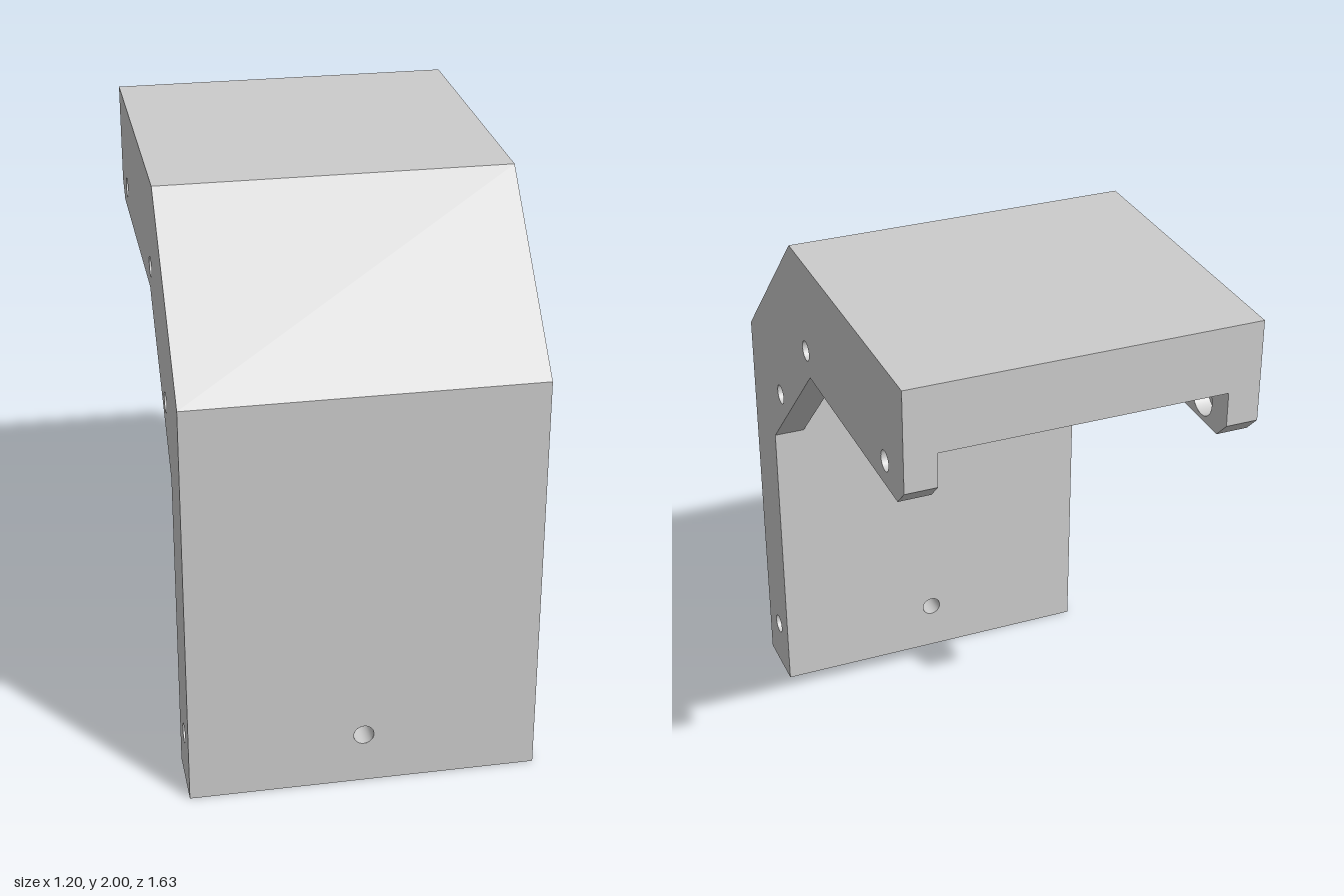
import * as THREE from 'three';

const W = 0.6, IN = 0.49;          // half width, half width between the flanges
const R = 0.035, BORE = 0.068;     // screw hole and counterbore radii
const STEP = 0.055;                // counterbore depth
const BLIND = 0.3;                 // depth of the blind side holes
const BACK = -0.815, FRONT = 0.815, WALL = 0.58;

// Side outlines as [z, y]
const outline = [[FRONT, 0], [FRONT, 1.46], [0.27, 2], [BACK, 2], [BACK, 1.645],
  [-0.755, 1.585], [0.1, 1.585], [WALL, 1.105], [WALL, 0]];
const flange = [[BACK, 1.765], [0.175, 1.765], [WALL, 1.36], [WALL, 1.105],
  [0.1, 1.585], [-0.755, 1.585], [BACK, 1.645]];
const screws = [[0.135, 1.67], [0.475, 1.33], [-0.645, 1.67]];
const pin = [0.695, 0.185];
const wallHole = [0, 0.185];

const material = new THREE.MeshStandardMaterial({ color: 0xcccccc, side: THREE.DoubleSide });

export function createModel() {
  const group = new THREE.Group();

  function add(name, geometry, x = 0, y = 0, z = 0, ry = 0) {
    const mesh = new THREE.Mesh(geometry, material);
    mesh.name = name;
    mesh.position.set(x, y, z);
    mesh.rotation.y = ry;
    group.add(mesh);
    return mesh;
  }

  // Flat face with round holes
  function panel(points, holes = [], radius = R) {
    const shape = new THREE.Shape(points.map(p => new THREE.Vector2(...p)));
    for (const [u, v] of holes) {
      shape.holes.push(new THREE.Path().absarc(u, v, radius, 0, Math.PI * 2, true));
    }
    return new THREE.ShapeGeometry(shape, 24);
  }

  // Folded strip along a [z, y] path, spanning x0 to x1
  function strip(path, x0, x1) {
    const pos = [];
    for (let i = 0; i < path.length - 1; i++) {
      const [pz, py] = path[i], [qz, qy] = path[i + 1];
      const a = [x0, py, pz], b = [x1, py, pz], c = [x1, qy, qz], d = [x0, qy, qz];
      pos.push(...a, ...b, ...c, ...a, ...c, ...d);
    }
    const g = new THREE.BufferGeometry();
    g.setAttribute('position', new THREE.Float32BufferAttribute(pos, 3));
    g.computeVertexNormals();
    return g;
  }

  // Open tube lining a hole along x
  function liningX(name, r, x0, x1, [z, y]) {
    const g = new THREE.CylinderGeometry(r, r, Math.abs(x1 - x0), 24, 1, true).rotateZ(Math.PI / 2);
    add(name, g, (x0 + x1) / 2, y, z);
  }

  // Outer skin, channel and base
  add('slopeAndTop', strip(outline.slice(1, 4), -W, W));
  add('channel', strip([[BACK, 1.765], [0.175, 1.765], [WALL, 1.36]], -IN, IN));
  add('base', strip([[WALL, 0], [FRONT, 0]], -W, W));

  // Front and back of the upright wall, with a through hole
  add('wallFront', panel([[-W, 0], [W, 0], [W, 1.46], [-W, 1.46]], [wallHole]), 0, 0, FRONT);
  add('wallBack', panel([[-W, 0], [W, 0], [W, 1.105], [IN, 1.105], [IN, 1.36],
    [-IN, 1.36], [-IN, 1.105], [-W, 1.105]], [wallHole]), 0, 0, WALL, Math.PI);
  add('wallHole', new THREE.CylinderGeometry(R, R, FRONT - WALL, 24, 1, true).rotateX(Math.PI / 2),
    0, wallHole[1], (FRONT + WALL) / 2);

  // Rear end of the top, notched by the channel
  add('rearEnd', panel([[-W, 2], [-W, 1.645], [-IN, 1.645], [-IN, 1.765],
    [IN, 1.765], [IN, 1.645], [W, 1.645], [W, 2]]), 0, 0, BACK, Math.PI);

  // Both sides: cheek, flange, screw holes and blind pin hole
  for (const s of [1, -1]) {
    const turn = s * Math.PI / 2;
    const flip = (pts, k) => pts.map(([z, y]) => [k * z, y]);

    add('sideCheek', panel(flip(outline, -s), flip([...screws, pin], -s)), s * W, 0, 0, turn);
    add('flangeInside', panel(flip(flange, s), flip(screws, s), BORE), s * IN, 0, 0, -turn);
    add('flangeUnderside', strip(outline.slice(4, 8), ...(s > 0 ? [IN, W] : [-W, -IN])));

    for (const hole of screws) {
      liningX('screwHole', R, s * W, s * (IN + STEP), hole);
      liningX('counterbore', BORE, s * IN, s * (IN + STEP), hole);
      add('counterboreStep', new THREE.RingGeometry(R, BORE, 24),
        s * (IN + STEP), hole[1], hole[0], -turn);
    }

    liningX('pinHole', R, s * W, s * (W - BLIND), pin);
    add('pinHoleEnd', new THREE.CircleGeometry(R, 24), s * (W - BLIND), pin[1], pin[0], turn);
  }

  return group;
}
